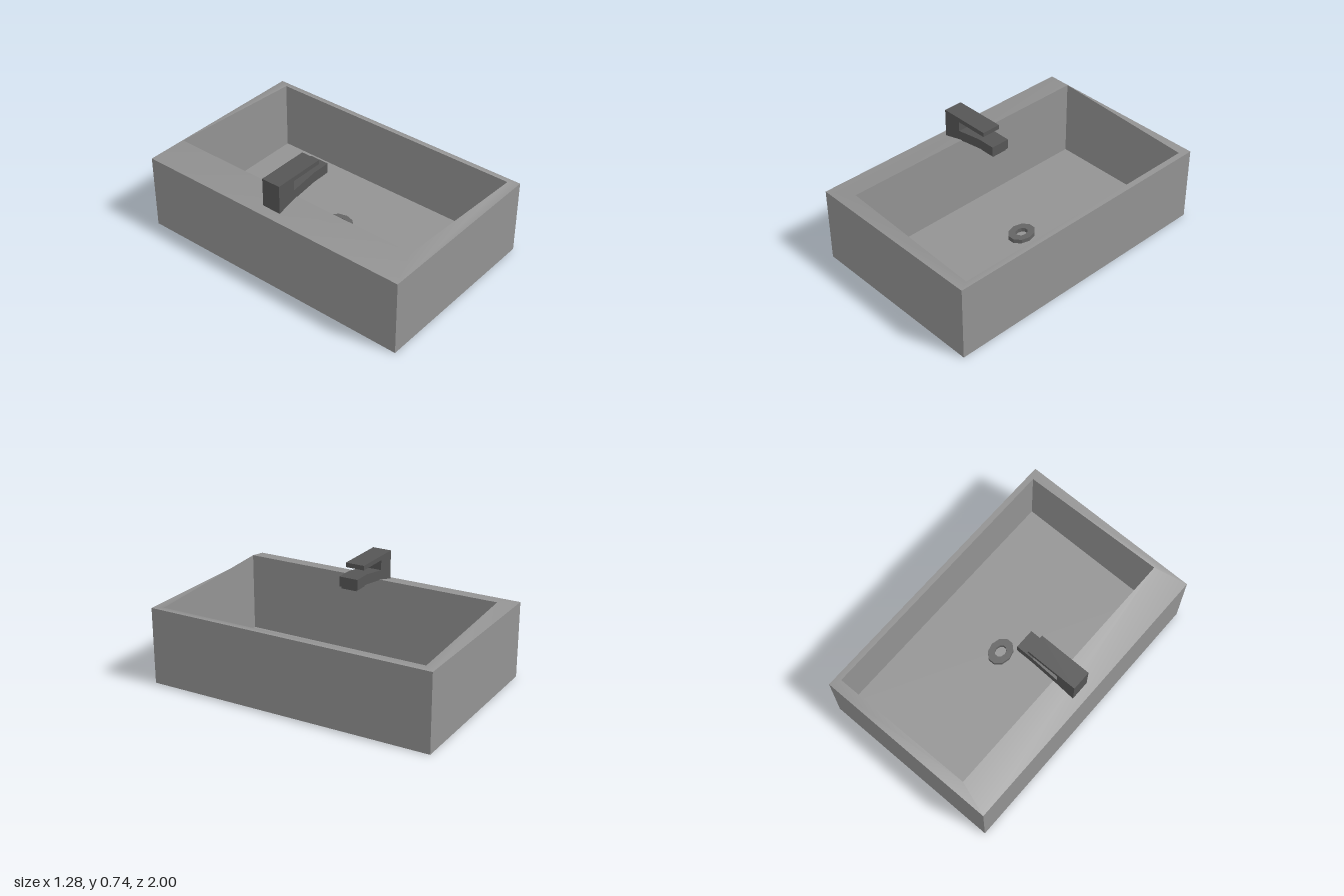
import * as THREE from 'three';

const ceramic = new THREE.MeshStandardMaterial({ color: 0x939393 });
const metal = new THREE.MeshStandardMaterial({ color: 0x565656 });
const drainMetal = new THREE.MeshStandardMaterial({ color: 0x646464, flatShading: true });

// Four corners of a rectangle, counter-clockwise seen from above
function loop(x0, x1, z, yLeft, yRight = yLeft) {
  return [[x0, yLeft, z], [x1, yRight, z], [x1, yRight, -z], [x0, yLeft, -z]];
}

function surface(points, index, flat) {
  let g = new THREE.BufferGeometry();
  g.setAttribute('position', new THREE.Float32BufferAttribute(points.flat(), 3));
  g.setIndex(index);
  if (flat) g = g.toNonIndexed();
  g.computeVertexNormals();
  return g;
}

// Strip of four quads joining two loops
function band(a, b, flat = true) {
  const index = [];
  for (let i = 0; i < 4; i++) {
    const j = (i + 1) % 4;
    index.push(i, j, j + 4, i, j + 4, i + 4);
  }
  return surface([...a, ...b], index, flat);
}

function add(group, name, geometry, material) {
  const mesh = new THREE.Mesh(geometry, material);
  mesh.name = name;
  group.add(mesh);
  return mesh;
}

export function createModel() {
  const model = new THREE.Group();
  model.name = 'washbasin';

  // Basin: outer block, sloping rim, straight-sided bowl
  const basin = new THREE.Group();
  basin.name = 'basin';
  const base = loop(-0.642, 0.642, 1, 0);
  const outer = loop(-0.642, 0.642, 1, 0.527, 0.525);
  const inner = loop(-0.42, 0.603, 0.93, 0.584, 0.527);
  const floor = loop(-0.42, 0.603, 0.93, 0.04);
  add(basin, 'outerWalls', band(base, outer), ceramic);
  add(basin, 'rim', band(outer, inner, false), ceramic);
  add(basin, 'bowlWalls', band(inner, floor), ceramic);
  add(basin, 'bowlFloor', surface(floor, [0, 1, 2, 0, 2, 3], true), ceramic);
  add(basin, 'underside', surface(base, [0, 2, 1, 0, 3, 2], true), ceramic);
  model.add(basin);

  // Tap: one side profile for column, lever and spout
  const tap = new THREE.Group();
  tap.name = 'tap';
  const profile = new THREE.Shape([
    [-0.58, 0.535], [-0.445, 0.57], [-0.4, 0.582], [-0.24, 0.605], [-0.123, 0.605],
    [-0.123, 0.673], [-0.25, 0.673], [-0.445, 0.643], [-0.445, 0.712],
    [-0.208, 0.712], [-0.208, 0.743], [-0.58, 0.743],
  ].map(([x, y]) => new THREE.Vector2(x, y)));
  const body = new THREE.ExtrudeGeometry(profile, { depth: 0.135, bevelEnabled: false });
  body.translate(0, 0, -0.08);
  add(tap, 'tapBody', body, metal);

  const nozzle = new THREE.BoxGeometry(0.105, 0.03, 0.11);
  add(tap, 'nozzle', nozzle, metal).position.set(-0.185, 0.605, -0.0125);
  model.add(tap);

  // Drain: low faceted oval ring, open to the floor in the middle
  const drainProfile = [[0.078, 0], [0.078, 0.03], [0.035, 0.03], [0.035, 0]]
    .map(([x, y]) => new THREE.Vector2(x, y));
  const ring = new THREE.LatheGeometry(drainProfile, 10, Math.PI / 2);
  const drain = add(model, 'drain', ring, drainMetal);
  drain.position.set(0.08, 0.04, -0.01);
  drain.scale.z = 1.27;

  return model;
}
